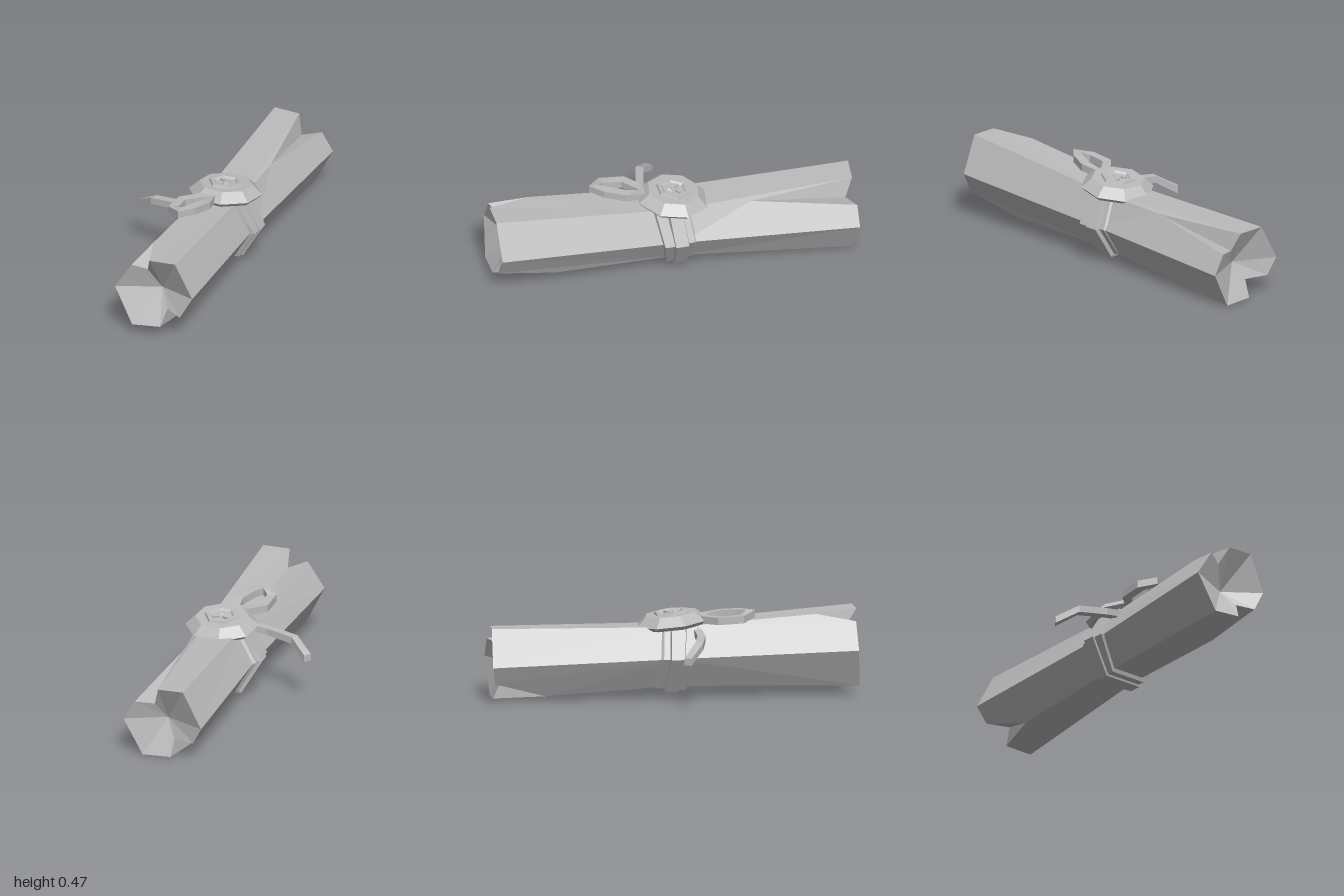
import * as THREE from 'three';

const stone = new THREE.MeshStandardMaterial({ color: 0xbbbbbb, flatShading: true });
stone.name = 'plain grey';

const v = (x, y, z) => new THREE.Vector3(x, y, z);

// Mesh from a list of triangles given as corner points
function triMesh(name, tris) {
  const geo = new THREE.BufferGeometry().setFromPoints(tris.flat());
  geo.computeVertexNormals();
  return named(name, geo);
}

function named(name, geo) {
  const mesh = new THREE.Mesh(geo, stone);
  mesh.name = name;
  return mesh;
}

// Joins four-cornered sections into a strip, closed or with end caps
function loft(name, sections, closed) {
  const tris = [];
  const n = sections.length;
  for (let i = 0; i < (closed ? n : n - 1); i++) {
    const a = sections[i], b = sections[(i + 1) % n];
    for (let k = 0; k < 4; k++) {
      const m = (k + 1) % 4;
      tris.push([a[k], b[k], b[m]], [a[k], b[m], a[m]]);
    }
  }
  if (!closed) {
    const s = sections[0], e = sections[n - 1];
    tris.push([s[0], s[1], s[2]], [s[0], s[2], s[3]], [e[0], e[2], e[1]], [e[0], e[3], e[2]]);
  }
  return triMesh(name, tris);
}

// Flat ribbon along a path, half width w and half thickness t
function ribbon(name, path, w, t, closed) {
  const n = path.length;
  const sections = path.map((p, i) => {
    const prev = path[closed ? (i + n - 1) % n : Math.max(i - 1, 0)];
    const next = path[closed ? (i + 1) % n : Math.min(i + 1, n - 1)];
    const side = next.clone().sub(prev).cross(v(0, 1, 0)).normalize().multiplyScalar(w);
    const up = v(0, t, 0);
    return [
      p.clone().add(side).add(up), p.clone().sub(side).add(up),
      p.clone().sub(side).sub(up), p.clone().add(side).sub(up),
    ];
  });
  return loft(name, sections, closed);
}

// Waist of the roll, counterclockwise seen from the front
const waist = [
  v(-0.085, 0.225, 0), v(0.01, 0.065, 0), v(0.2, 0.065, 0),
  v(0.29, 0.215, 0), v(0.21, 0.382, 0), v(0.01, 0.385, 0),
];

// Half of the roll: six corners, two of them torn open, and a hollow end
function rollHalf(name, corners, centre, flip) {
  const tris = [];
  const add = (a, b, c) => tris.push(flip ? [a, c, b] : [a, b, c]);
  for (let i = 0; i < 6; i++) {
    const j = (i + 1) % 6;
    const from = corners[i], to = corners[j];
    const start = from.b || from, end = to.a || to;
    if (to.apex) add(waist[i], waist[j], to.apex);
    add(waist[i], to.apex || waist[j], end);
    add(waist[i], end, start);
    if (from.apex) {
      add(waist[i], start, from.apex);
      add(from.a, from.apex, from.inner);
      add(from.apex, from.b, from.inner);
      add(centre, from.a, from.inner);
      add(centre, from.inner, from.b);
    }
    add(centre, start, end);
  }
  return triMesh(name, tris);
}

// Band around the waist, leaning from top to bottom
function band(name, scale, zTop, zBottom, w) {
  const sections = waist.map((p) => {
    const z = THREE.MathUtils.mapLinear(p.y, 0.065, 0.385, zBottom, zTop);
    const at = (s, dz) => v(0.105 + (p.x - 0.105) * s, 0.224 + (p.y - 0.224) * s, z + dz);
    return [at(scale, -w * 0.8), at(scale, w * 0.8), at(0.96, w), at(0.96, -w)];
  });
  return loft(name, sections, true);
}

// Turned low-poly form from radius and height pairs
function turned(name, profile, sides, turn) {
  const geo = new THREE.LatheGeometry(profile.map(([r, y]) => new THREE.Vector2(r, y)), sides);
  geo.rotateY(turn);
  return named(name, geo);
}

export function createModel() {
  const model = new THREE.Group();
  model.name = 'tiedScroll';

  // Rolled sheet
  model.add(rollHalf('frontRoll', [
    v(-0.165, 0.257, 0.98), v(-0.06, 0.052, 1),
    { a: v(0.1, 0.065, 1), apex: v(0.187, 0.066, 0.67), b: v(0.212, 0.14, 1), inner: v(0.125, 0.157, 0.95) },
    v(0.28, 0.26, 0.99), v(0.185, 0.459, 1),
    { a: v(0.038, 0.456, 1), apex: v(-0.022, 0.441, 0.77), b: v(-0.07, 0.403, 0.98), inner: v(0.008, 0.37, 0.94) },
  ], v(0.07, 0.245, 0.88), false));
  model.add(rollHalf('backRoll', [
    v(-0.07, 0.2, -1),
    { a: v(-0.02, 0.105, -0.98), apex: v(0.025, 0.025, -0.7), b: v(0.11, 0.007, -0.97), inner: v(0.1, 0.1, -0.93) },
    v(0.27, 0, -0.96), v(0.375, 0.2, -0.97),
    { a: v(0.312, 0.305, -0.97), apex: v(0.225, 0.375, -0.4), b: v(0.18, 0.392, -0.975), inner: v(0.21, 0.29, -0.93) },
    v(0.035, 0.397, -0.99),
  ], v(0.15, 0.2, -0.88), true));

  // Tie wrapped around the waist
  model.add(band('innerWrap', 1.07, 0.02, -0.02, 0.09));
  model.add(band('frontWrap', 1.13, 0.1, 0.035, 0.035));
  model.add(band('middleWrap', 1.2, 0.02, -0.015, 0.045));

  // Bow loop and loose tail
  model.add(ribbon('bowLoop', [
    v(0.03, 0.42, 0.17), v(-0.05, 0.422, 0.24), v(-0.057, 0.43, 0.36),
    v(0, 0.45, 0.415), v(0.05, 0.45, 0.36), v(0.095, 0.44, 0.26), v(0.09, 0.425, 0.17),
  ], 0.025, 0.02, true));
  model.add(ribbon('looseTail', [
    v(0.06, 0.37, 0.12), v(-0.11, 0.337, 0.13), v(-0.265, 0.32, 0.09), v(-0.362, 0.253, 0.013),
  ], 0.022, 0.019, false));

  // Seal with a raised hexagonal rim
  const seal = new THREE.Group();
  seal.name = 'seal';
  seal.add(turned('sealBody', [[0.001, -0.07], [0.18, -0.07], [0.2, -0.05], [0.145, 0], [0.001, 0]], 8, 0.2));
  seal.add(turned('sealRim', [[0.1, -0.005], [0.092, 0.012], [0.072, 0.012], [0.06, 0.001]], 6, Math.PI / 6));
  for (const side of [-1, 1]) {
    const mark = named('sealMark', new THREE.BoxGeometry(0.03, 0.01, 0.015));
    mark.position.set(side * 0.025, 0.005, -0.02);
    mark.rotation.y = side * 0.5;
    seal.add(mark);
  }
  const wedge = named('sealWedge', new THREE.ConeGeometry(0.022, 0.012, 3));
  wedge.position.set(0, 0.006, 0.02);
  seal.add(wedge);
  seal.position.set(0.115, 0.447, 0);
  seal.rotation.x = -0.11;
  model.add(seal);

  return model;
}
